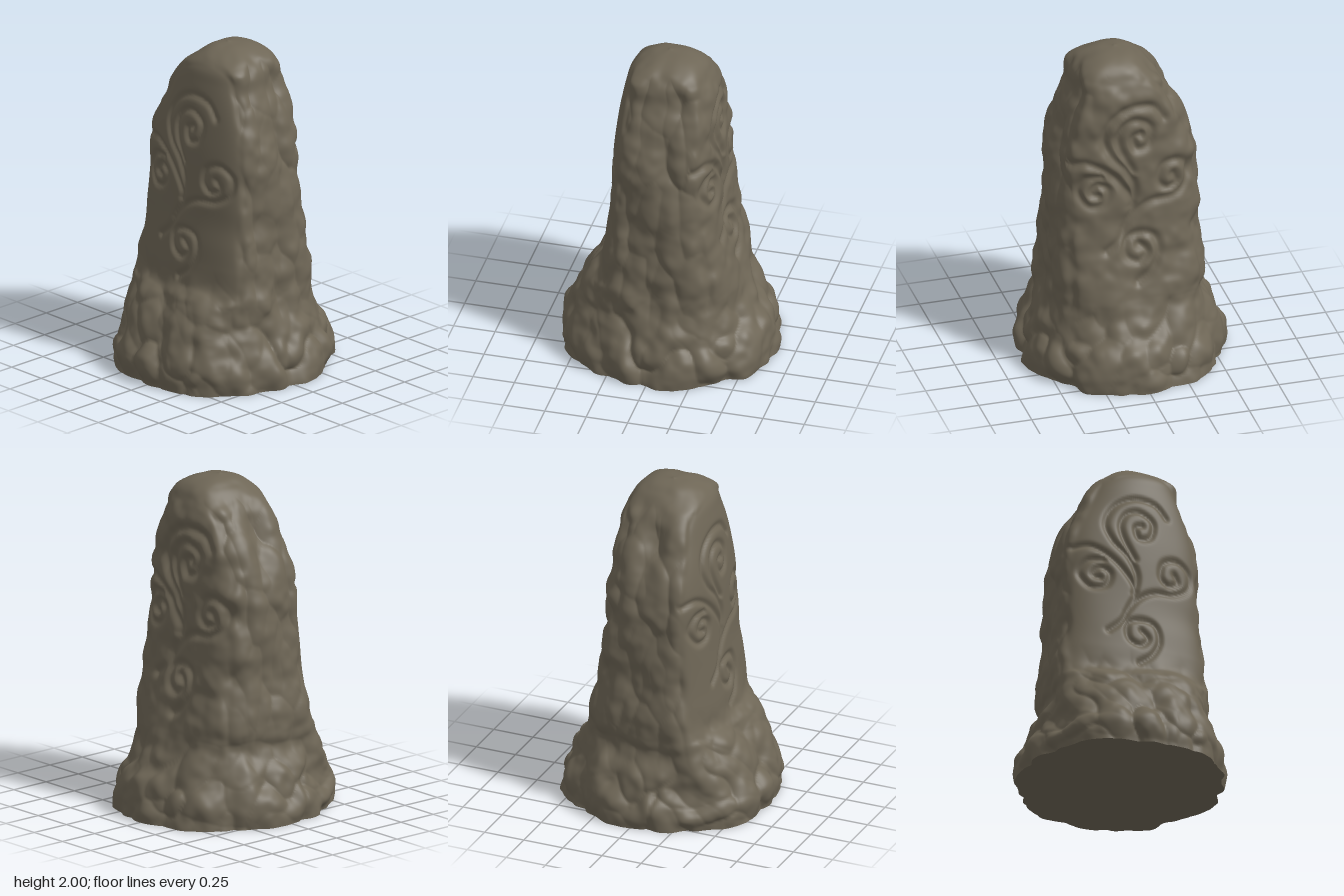
import * as THREE from 'three';

const COLS = 340, ROWS = 190;
const { smoothstep, lerp } = THREE.MathUtils;

// Outline of the stone: height, then reach to -x, +x, +z and -z
const PROFILE = [
  [0, .595, .60, .635, .635], [.1, .60, .605, .645, .635], [.2, .565, .575, .615, .605], [.3, .525, .52, .56, .535],
  [.42, .47, .475, .50, .465], [.51, .465, .47, .455, .44], [.59, .465, .46, .39, .42], [.72, .455, .46, .37, .38],
  [.84, .44, .45, .355, .36], [.96, .435, .435, .338, .34], [1.08, .43, .44, .328, .33], [1.2, .425, .43, .32, .322],
  [1.32, .42, .425, .314, .315], [1.44, .395, .41, .305, .307], [1.56, .35, .385, .29, .30], [1.68, .29, .35, .27, .293],
  [1.8, .23, .305, .245, .28], [1.88, .165, .28, .222, .25], [1.94, .10, .235, .17, .20], [1.98, .05, .15, .09, .12],
  [2, -.03, .03, 0, 0],
];

// Scrolls of the carving, as x, y points
const SCROLLS = [
  [.20, 1.62, .13, 1.70, 0, 1.72, -.12, 1.66, -.18, 1.54, -.14, 1.42, -.05, 1.32, 0, 1.2, -.02, 1.08],
  [-.01, 1.31, -.07, 1.43, -.09, 1.53, -.05, 1.61, .03, 1.63, .11, 1.57, .09, 1.47, .02, 1.45, 0, 1.52, .04, 1.54],
  [-.37, 1.37, -.28, 1.38, -.18, 1.33, -.08, 1.23, -.01, 1.1, -.06, .97, -.10, .89, -.18, .82],
  [-.20, 1.29, -.29, 1.28, -.34, 1.2, -.28, 1.11, -.19, 1.12, -.16, 1.2, -.22, 1.24, -.26, 1.19, -.22, 1.17],
  [-.07, .95, 0, 1.04, .1, 1.10, .24, 1.12, .33, 1.18, .34, 1.28, .26, 1.34, .17, 1.31, .15, 1.22, .2, 1.17, .26, 1.2, .24, 1.25],
  [0, .62, .08, .68, .13, .78, .11, .88, .03, .91, -.06, .88, -.06, .78, .01, .74, .06, .79, .02, .84],
];

function sampleScrolls() {
  return SCROLLS.flatMap((flat) => {
    const pts = [];
    for (let i = 0; i < flat.length; i += 2) pts.push(new THREE.Vector2(flat[i], flat[i + 1]));
    return new THREE.SplineCurve(pts).getSpacedPoints(90);
  });
}

// Seeded noise
function hash(x, y, z, seed = 0) {
  let h = Math.imul(x, 374761393) ^ Math.imul(y, 668265263) ^ Math.imul(z, 1274126177) ^ Math.imul(seed + 7, 974634777);
  h = Math.imul(h ^ (h >>> 13), 1103515245);
  h = Math.imul(h ^ (h >>> 15), 2246822519);
  return ((h ^ (h >>> 16)) >>> 0) / 4294967296;
}

// Soft bumps, about -0.5 to 0.5
function bumps(x, y, z) {
  const i = Math.floor(x), j = Math.floor(y), k = Math.floor(z);
  const fade = (t) => t * t * (3 - 2 * t);
  const u = fade(x - i), v = fade(y - j), w = fade(z - k);
  const edge = (b, c) => lerp(hash(i, j + b, k + c), hash(i + 1, j + b, k + c), u);
  return lerp(lerp(edge(0, 0), edge(1, 0), v), lerp(edge(0, 1), edge(1, 1), v), w) - 0.5;
}

// Rounded lumps with creases between them
function lumps(x, y, z) {
  const i = Math.floor(x), j = Math.floor(y), k = Math.floor(z);
  let best = 9;
  for (let a = i - 1; a <= i + 1; a++)
    for (let b = j - 1; b <= j + 1; b++)
      for (let c = k - 1; c <= k + 1; c++) {
        const dx = a + hash(a, b, c, 1) - x, dy = b + hash(a, b, c, 2) - y, dz = c + hash(a, b, c, 3) - z;
        best = Math.min(best, dx * dx + dy * dy + dz * dz);
      }
  return 0.28 - Math.min(best, 0.9);
}

// Smooth loft: round at the foot, slab-like above
function loftStone() {
  const curve = (a, b) => new THREE.CatmullRomCurve3(
    PROFILE.map((p) => new THREE.Vector3(p[a], p[0], p[b])), false, 'catmullrom', 0.5);
  const sides = curve(1, 2), depths = curve(3, 4);
  const pos = [], index = [];
  for (let i = 0; i < ROWS; i++) {
    const s = sides.getPoint(i / ROWS), d = depths.getPoint(i / ROWS), y = s.y;
    const slab = smoothstep(y, 0.2, 0.7), crown = smoothstep(y, 1.8, 2);
    const frontPower = lerp(lerp(2.1, 6.5, slab), 3, crown);
    const backPower = lerp(lerp(2.1, 3.6, slab), 2.6, crown);
    const middle = (s.z - s.x) / 2, half = (s.z + s.x) / 2;
    for (let j = 0; j < COLS; j++) {
      const t = (j / COLS) * Math.PI * 2, sx = Math.sin(t), cz = Math.cos(t);
      const n = cz > 0 ? frontPower : backPower;
      const a = Math.abs(sx) / half, b = Math.abs(cz) / (cz > 0 ? d.x : d.z);
      const r = Math.pow(Math.pow(a, n) + Math.pow(b, n), -1 / n);
      // The front is gently bowed, falling back toward both edges
      const bow = cz > 0 ? 1 - 0.22 * slab * (r * a) ** 2 : 1;
      pos.push(middle + r * sx, y, r * cz * bow);
    }
  }
  pos.push(0.03, 2, 0);
  const at = (i, j) => (i === ROWS ? ROWS * COLS : i * COLS + (j % COLS));
  for (let i = 0; i < ROWS; i++)
    for (let j = 0; j < COLS; j++) {
      index.push(at(i, j), at(i, j + 1), at(i + 1, j));
      if (i < ROWS - 1) index.push(at(i, j + 1), at(i + 1, j + 1), at(i + 1, j));
    }
  const geo = new THREE.BufferGeometry();
  geo.setAttribute('position', new THREE.Float32BufferAttribute(pos, 3));
  geo.setIndex(index);
  geo.computeVertexNormals();
  return geo;
}

// Weathering and carving, pushed along the normals
function weather(geo) {
  const pos = geo.attributes.position, nor = geo.attributes.normal;
  const scroll = sampleScrolls();
  for (let v = 0; v < pos.count; v++) {
    const x = pos.getX(v), y = pos.getY(v), z = pos.getZ(v);
    const nx = nor.getX(v), ny = nor.getY(v), nz = nor.getZ(v);
    const foot = 1 - smoothstep(y, 0.3, 0.62);
    const face = smoothstep(nz, 0.6, 0.85) * smoothstep(y, 0.45, 0.7);
    const back = smoothstep(-nz, 0.6, 0.9);
    const flank = (1 - face) * (1 - back) * (1 - foot) * (1 - smoothstep(ny, 0.4, 0.8));

    let d = 0.012 * bumps(x * 4, y * 4, z * 4);
    // Irregular boulders round the foot
    const warp = 0.9 * bumps(x * 5, y * 5 + 9, z * 5);
    d += foot * (0.065 * lumps(x * 4.6 + warp, y * 4.2 + x * 2.2 - warp, z * 4.6 + warp) + 0.02 * bumps(x * 13, y * 13, z * 13));
    // Upright ridges on the flanks
    d += flank * (0.055 * lumps(x * 5, y * 2.6 + warp, z * 7) + 0.02 * bumps(x * 9, y * 9, z * 9));
    d += (1 - face) * (0.028 * bumps(x * 8 + 5, y * 8, z * 8) + 0.012 * bumps(x * 17, y * 17, z * 17));
    // Chipped slabs low on the front
    const chip = smoothstep(nz, 0.3, 0.7) * (1 - smoothstep(y, 0.5, 0.75));
    d += chip * 0.035 * lumps((x + y) * 3.2, (y - x) * 2.6, z * 2);

    // Grooves on the front, worn softer on the back
    if (Math.abs(nz) > 0.5 && y > 0.5 && y < 1.85) {
      const px = z > 0 ? x : -x;
      let best = 1;
      for (const p of scroll) best = Math.min(best, (p.x - px) ** 2 + (p.y - y) ** 2);
      const width = z > 0 ? 0.019 : 0.028;
      d -= (z > 0 ? 0.018 : 0.022) * Math.exp(-best / (width * width));
    }
    // Calmer toward the peak, flat on the ground
    d *= 1 - 0.7 * smoothstep(y, 1.86, 1.98);
    const height = v < COLS ? 0 : THREE.MathUtils.clamp(y + ny * d, 0.002, 2);
    pos.setXYZ(v, x + nx * d, height, z + nz * d);
  }
  pos.setXYZ(pos.count - 1, 0.03, 2, 0);
  geo.computeVertexNormals();
  return geo;
}

// Flat underside closing the first ring
function underside(stone) {
  const pos = [...stone.attributes.position.array.slice(0, COLS * 3), 0, 0, 0];
  const index = [];
  for (let j = 0; j < COLS; j++) index.push(COLS, (j + 1) % COLS, j);
  const geo = new THREE.BufferGeometry();
  geo.setAttribute('position', new THREE.Float32BufferAttribute(pos, 3));
  geo.setIndex(index);
  geo.computeVertexNormals();
  return geo;
}

export function createModel() {
  const rock = new THREE.MeshStandardMaterial({ color: 0x6e6656 });
  rock.name = 'weathered rock';
  const group = new THREE.Group();
  group.name = 'carvedStandingStone';
  const stoneGeo = weather(loftStone());
  const stone = new THREE.Mesh(stoneGeo, rock);
  stone.name = 'carvedStone';
  const base = new THREE.Mesh(underside(stoneGeo), rock);
  base.name = 'underside';
  group.add(stone, base);
  return group;
}
